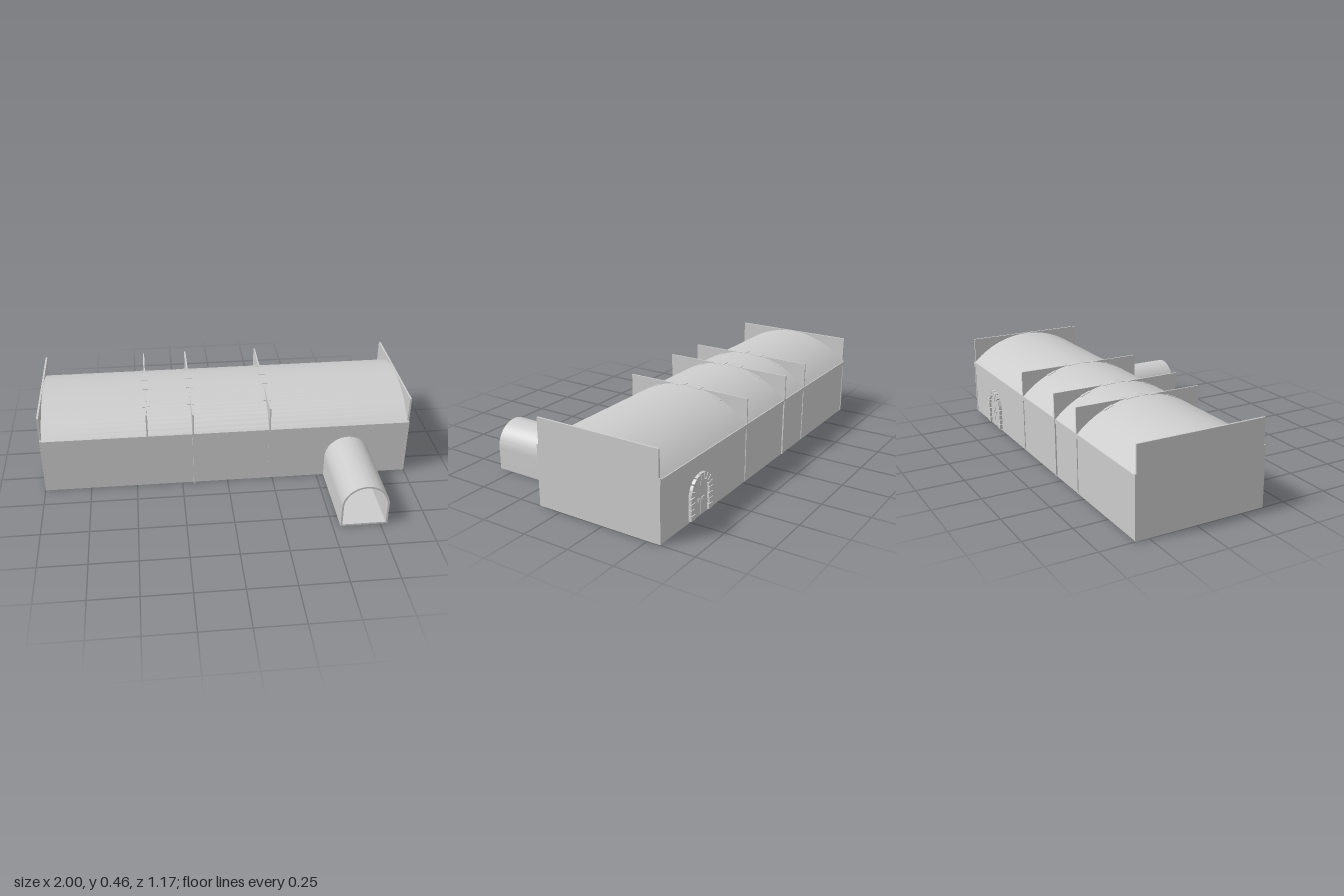
import * as THREE from 'three';
import { toCreasedNormals } from 'three/addons/utils/BufferGeometryUtils.js';

const material = new THREE.MeshStandardMaterial({ color: 0xcccccc, side: THREE.DoubleSide });

// Hall cross-section (z across, y up)
const BACK = -0.567, FRONT = 0.123, EAVE = 0.315, RIDGE = 0.456, WALL = 0.012;
const MID = (BACK + FRONT) / 2;

function add(group, name, geometry, x = 0, y = 0, z = 0) {
  const mesh = new THREE.Mesh(geometry, material);
  mesh.name = name;
  mesh.position.set(x, y, z);
  group.add(mesh);
  return mesh;
}

function box(group, name, x0, x1, y0, y1, z0, z1) {
  return add(group, name, new THREE.BoxGeometry(x1 - x0, y1 - y0, z1 - z0),
    (x0 + x1) / 2, (y0 + y1) / 2, (z0 + z1) / 2);
}

function extrude(shape, depth, curveSegments = 24) {
  const geometry = new THREE.ExtrudeGeometry(shape, { depth, bevelEnabled: false, curveSegments });
  return toCreasedNormals(geometry, 0.5);
}

// Height of the vault at a given z, with an optional inset
const halfSpan = (FRONT - BACK) / 2, rise = RIDGE - EAVE;
const radius = (halfSpan * halfSpan + rise * rise) / (2 * rise);
function vaultY(z, inset = 0) {
  const r = radius - inset;
  return RIDGE - radius + Math.sqrt(r * r - (z - MID) ** 2);
}

// Round-topped outline standing on y = base
function archPath(path, cx, base, spring, r) {
  path.moveTo(cx - r, base);
  path.lineTo(cx + r, base);
  path.lineTo(cx + r, spring);
  path.absarc(cx, spring, r, 0, Math.PI, false);
  path.lineTo(cx - r, base);
  return path;
}

function roofShape() {
  const n = 32, points = [];
  for (let i = 0; i <= n; i++) {
    const z = BACK + (FRONT - BACK) * i / n;
    points.push(new THREE.Vector2(z, vaultY(z)));
  }
  for (let i = n; i >= 0; i--) {
    const z = BACK + WALL + (FRONT - BACK - 2 * WALL) * i / n;
    points.push(new THREE.Vector2(z, vaultY(z, WALL)));
  }
  return new THREE.Shape(points);
}

function buildHall() {
  const hall = new THREE.Group();
  hall.name = 'hall';
  box(hall, 'floor', -1, 1, 0, 0.01, BACK, FRONT);
  box(hall, 'backWall', -1, 1, 0, EAVE, BACK, BACK + WALL);
  box(hall, 'backEave', -1, 1, 0.292, EAVE, BACK - 0.005, BACK);

  // Front wall pierced by the entrance tunnel
  const front = new THREE.Shape([[-1, 0], [1, 0], [1, EAVE], [-1, EAVE]]
    .map(([x, y]) => new THREE.Vector2(x, y)));
  front.holes.push(archPath(new THREE.Path(), 0.664, 0.01, 0.12, 0.114));
  add(hall, 'frontWall', extrude(front, WALL), 0, 0, FRONT - WALL);

  // Barrel-vaulted roof running along x
  const roof = extrude(roofShape(), 2);
  roof.rotateY(-Math.PI / 2);
  add(hall, 'vaultedRoof', roof, 1, 0, 0);
  return hall;
}

function buildCrossWalls() {
  const walls = new THREE.Group();
  walls.name = 'crossWalls';
  // Square-topped end walls, slightly narrower above the eaves
  for (const s of [-1, 1]) {
    const x0 = s > 0 ? 0.99 : -1, x1 = x0 + 0.01;
    box(walls, 'endWallLower', x0, x1, 0, 0.32, BACK - 0.003, FRONT + 0.002);
    box(walls, 'endWallUpper', x0, x1, 0.32, 0.458, BACK + 0.004, FRONT - 0.008);
  }
  // Partition fins showing above the vault
  for (const x of [-0.43, 0.23]) {
    box(walls, 'partition', x - 0.004, x + 0.004, 0.005, 0.45, BACK - 0.004, FRONT + 0.002);
  }
  box(walls, 'mainPartition', -0.189, -0.181, 0.002, 0.45, -0.574, 0.143);

  // Partition arch stones just breaking through the roof
  for (const x of [-0.43, -0.185, 0.23]) {
    for (const [offset, length] of [[-0.175, 0.05], [-0.045, 0.07], [0.045, 0.07], [0.175, 0.05]]) {
      const z = MID + offset;
      const stone = add(walls, 'archStone', new THREE.BoxGeometry(0.04, 0.03, length),
        x, vaultY(z) - 0.0135, z);
      stone.rotation.x = Math.asin(offset / radius);
    }
  }
  return walls;
}

function buildTunnel() {
  const tunnel = new THREE.Group();
  tunnel.name = 'entranceTunnel';
  const shape = archPath(new THREE.Shape(), 0.664, 0, 0.119, 0.124);
  shape.holes.push(archPath(new THREE.Path(), 0.664, 0.01, 0.119, 0.114));
  add(tunnel, 'tunnelShell', extrude(shape, 0.585 - FRONT + WALL), 0, 0, FRONT - WALL);
  return tunnel;
}

function buildDoor() {
  const door = new THREE.Group();
  door.name = 'stoneDoorway';
  const cx = 0.67, spring = 0.128, inner = 0.064, outer = 0.096, depth = 0.04;
  const z0 = -0.583;

  // Double door showing on both sides of the wall
  for (const s of [-1, 1]) {
    const leaf = new THREE.Shape();
    leaf.moveTo(s * 0.0015, 0.01);
    leaf.lineTo(s * inner, 0.01);
    leaf.lineTo(s * inner, spring);
    leaf.absarc(0, spring, inner, s > 0 ? 0 : Math.PI, Math.PI / 2 - s * 0.025, s < 0);
    add(door, 'doorLeaf', extrude(leaf, 0.022), cx, 0, -0.572);
    box(door, 'doorHandle', cx + s * 0.019 - 0.008, cx + s * 0.019 + 0.008, 0.081, 0.097, -0.577, -0.543);
  }
  // Jamb stones, alternating in width
  const rows = 4, step = (spring - 0.01) / rows;
  for (const s of [-1, 1]) {
    for (let i = 0; i < rows; i++) {
      const near = inner - (i % 2 ? 0 : 0.005);
      const stone = new THREE.BoxGeometry(outer - near, step - 0.004, depth);
      add(door, 'jambStone', stone, cx + s * (near + outer) / 2, 0.01 + step * (i + 0.5), z0 + depth / 2);
    }
  }
  // Wedge stones around the arch
  const count = 9;
  for (let i = 0; i < count; i++) {
    const a = Math.PI * i / count + 0.03, b = Math.PI * (i + 1) / count - 0.03;
    const wedge = new THREE.Shape();
    wedge.absarc(0, 0, outer, a, b, false);
    wedge.absarc(0, 0, inner - (i % 2 ? 0 : 0.004), b, a, true);
    add(door, 'archWedge', extrude(wedge, depth, 3), cx, spring, z0);
  }
  return door;
}

export function createModel() {
  const model = new THREE.Group();
  model.name = 'vaultedHall';
  model.add(buildHall(), buildCrossWalls(), buildTunnel(), buildDoor());
  return model;
}
